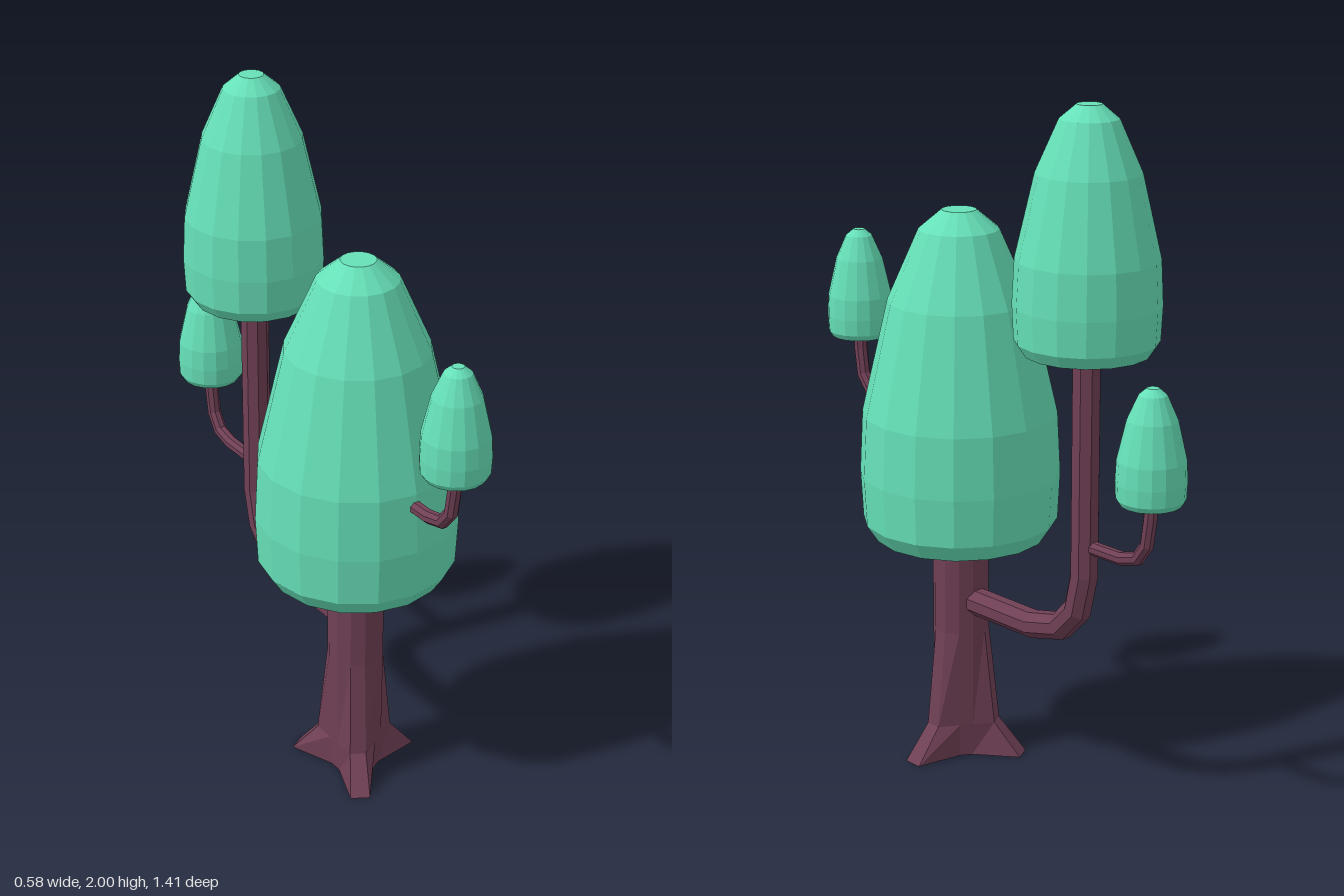
import * as THREE from 'three';

const leaf = new THREE.MeshStandardMaterial({ color: 0x66e0b8, flatShading: true });
const bark = new THREE.MeshStandardMaterial({ color: 0x704055, flatShading: true });

// Skin a list of equal-length rings (arrays of Vector3) and cap both ends
function loft(rings) {
  const n = rings[0].length, last = (rings.length - 1) * n;
  const verts = rings.flat();
  const index = [];
  for (let r = 0; r < rings.length - 1; r++) {
    for (let i = 0; i < n; i++) {
      const a = r * n + i, b = r * n + (i + 1) % n;
      index.push(a, a + n, b, b, a + n, b + n);
    }
  }
  const centre = (ring) => ring.reduce((s, p) => s.add(p), new THREE.Vector3()).divideScalar(n);
  const c0 = verts.length, c1 = c0 + 1;
  const all = [...verts, centre(rings[0]), centre(rings[rings.length - 1])];
  for (let i = 0; i < n; i++) {
    const j = (i + 1) % n;
    index.push(c0, i, j, c1, last + j, last + i);
  }
  const g = new THREE.BufferGeometry().setFromPoints(all);
  g.setIndex(index);
  g.computeVertexNormals();
  return g;
}

// Round branch following [z, y] points in the plane x = 0
function branchGeometry(points, radius, sides = 8) {
  const path = points.map(([z, y]) => new THREE.Vector3(0, y, z));
  return loft(path.map((p, k) => {
    const dirIn = path[Math.max(k, 1)].clone().sub(path[Math.max(k, 1) - 1]).normalize();
    const k2 = Math.min(k, path.length - 2);
    const dirOut = path[k2 + 1].clone().sub(path[k2]).normalize();
    const t = dirIn.add(dirOut).normalize();
    return Array.from({ length: sides }, (_, i) => {
      const a = (i + 0.5) / sides * Math.PI * 2;
      const s = Math.sin(a) * radius;
      return new THREE.Vector3(Math.cos(a) * radius, p.y - t.z * s, p.z + t.y * s);
    });
  }));
}

// Trunk with three roots: each root is a pair of ring vertices pushed outward
function trunkGeometry() {
  // height, core radius, root push, root widening
  const levels = [
    [0, 0.072, 0.123, 0.01],
    [0.1, 0.078, 0.036, 0.003],
    [0.39, 0.081, 0.002, 0],
    [1.0, 0.081, 0, 0],
  ];
  return loft(levels.map(([y, r, push, widen]) =>
    Array.from({ length: 12 }, (_, i) => {
      const a = (i - 0.5) / 12 * Math.PI * 2;
      const p = new THREE.Vector3(Math.cos(a) * r, y, Math.sin(a) * r);
      if (i % 4 < 2) {
        const d = Math.floor(i / 4) * Math.PI * 2 / 3;
        const w = i % 4 === 0 ? -widen : widen;
        p.x += Math.cos(d) * push - Math.sin(d) * w;
        p.z += Math.sin(d) * push + Math.cos(d) * w;
      }
      return p;
    })));
}

export function createModel() {
  const tree = new THREE.Group();
  tree.name = 'tree';
  const add = (name, geometry, material) => {
    const m = new THREE.Mesh(geometry, material);
    m.name = name;
    tree.add(m);
    return m;
  };

  add('trunk', trunkGeometry(), bark).position.z = 0.163;

  // Branches
  add('mainBranch', branchGeometry([
    [0.14, 0.484], [-0.15, 0.484], [-0.265, 0.512], [-0.33, 0.58], [-0.355, 0.69], [-0.355, 1.42],
  ], 0.041), bark);
  add('backTwig', branchGeometry([
    [-0.355, 0.777], [-0.5, 0.777], [-0.56, 0.793], [-0.593, 0.84], [-0.605, 0.92], [-0.605, 1.0],
  ], 0.02), bark);
  add('frontTwig', branchGeometry([
    [0.2, 1.01], [0.5, 1.01], [0.562, 1.025], [0.598, 1.07], [0.61, 1.15], [0.61, 1.24],
  ], 0.02), bark);

  // Leaf crowns: one bell profile at several scales
  const crown = new THREE.LatheGeometry([
    [0, 0], [0.25, 0], [0.283, 0.05], [0.29, 0.19], [0.281, 0.37],
    [0.205, 0.7], [0.115, 0.905], [0.05, 0.96], [0, 0.96],
  ].map(([x, y]) => new THREE.Vector2(x, y)), 16);
  const crowns = [
    ['mainCrown', 0.68, 0.163, 1],
    ['tallCrown', 1.328, -0.355, 0.7],
    ['frontSmallCrown', 1.19, 0.61, 0.335],
    ['backSmallCrown', 0.96, -0.605, 0.335],
  ];
  for (const [name, y, z, s] of crowns) {
    const m = add(name, crown, leaf);
    m.position.set(0, y, z);
    m.scale.setScalar(s);
  }
  return tree;
}
